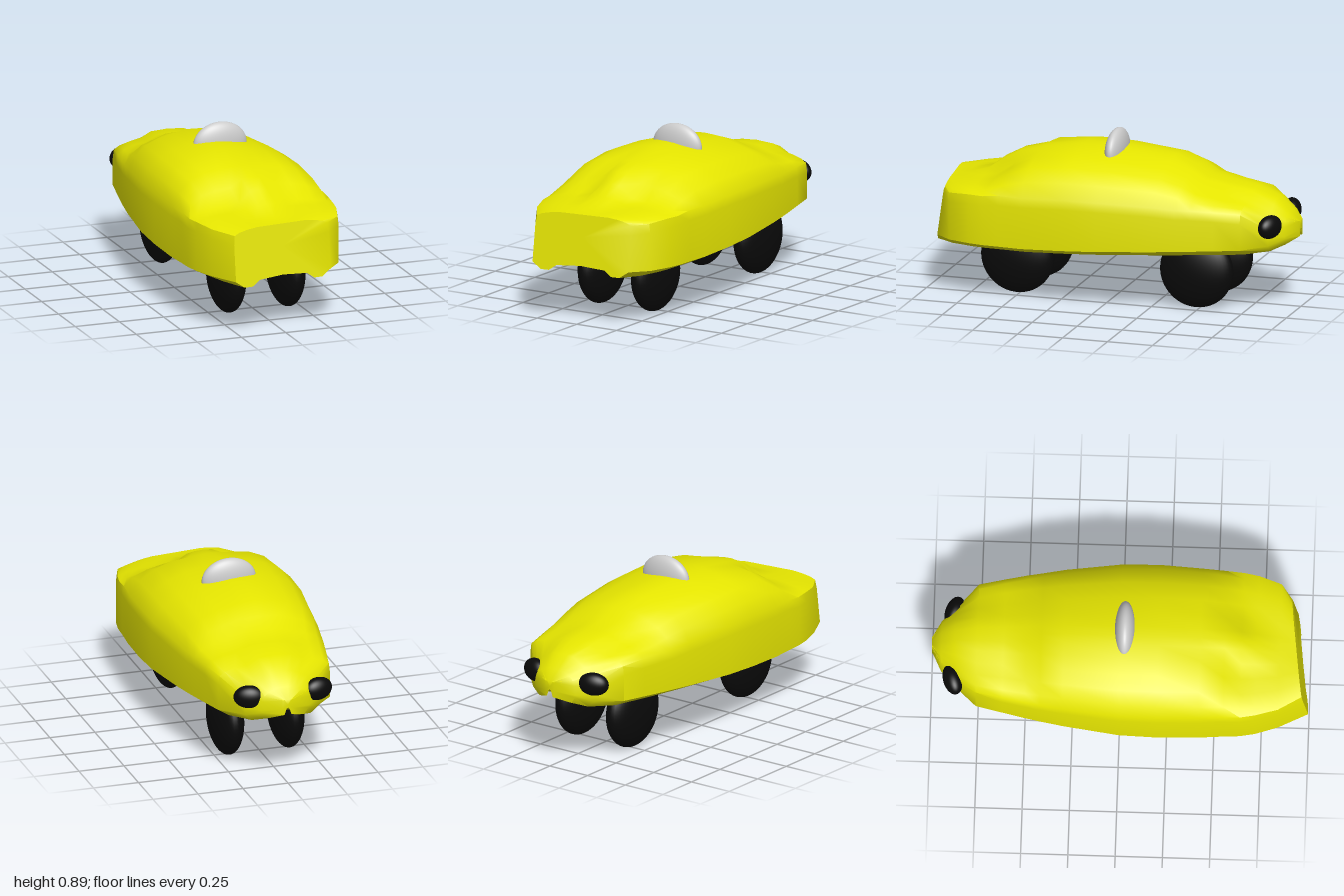
import * as THREE from 'three';
import { toCreasedNormals } from 'three/addons/utils/BufferGeometryUtils.js';

// Body stations, nose to tail: z, half width, shoulder y, mid roof y, crest y
const STATIONS = [
  [0.965, 0.28, 0.55, 0.58, 0.58],
  [0.84, 0.36, 0.56, 0.59, 0.59],
  [0.72, 0.4, 0.57, 0.605, 0.63],
  [0.64, 0.415, 0.57, 0.615, 0.69],
  [0.55, 0.42, 0.58, 0.68, 0.735],
  [0.42, 0.43, 0.58, 0.745, 0.765],
  [0.2, 0.44, 0.59, 0.765, 0.8],
  [0, 0.437, 0.59, 0.76, 0.8],
  [-0.3, 0.4, 0.58, 0.735, 0.77],
  [-0.42, 0.38, 0.57, 0.695, 0.725],
  [-0.5, 0.365, 0.57, 0.65, 0.68],
  [-0.62, 0.34, 0.565, 0.625, 0.66],
  [-0.76, 0.31, 0.555, 0.6, 0.64],
  [-0.88, 0.2, 0.46, 0.57, 0.595],
  [-0.95, 0.13, 0.46, 0.52, 0.53],
  [-1, 0.03, 0.475, 0.475, 0.475],
];

// Closed ring of points, anticlockwise seen from the nose
function bodyRing([z, w, shoulder, mid, crest], isNose) {
  const { lerp } = THREE.MathUtils;
  const floor = Math.max(0.27, 0.29 - 0.05 * z) + 0.5 * Math.max(0, -z - 0.9);
  // Narrow hump on the bonnet, broad roof, flat-topped ridge on the tail
  const hump = z > 0.5 ? 0.15 : z < -0.4 ? 0.85 : 0.57;
  const half = [
    [0, floor + 0.04], [0.5, floor + 0.03], [0.65, floor], [0.82, floor],
    [1, floor + 0.035], [1, shoulder - 0.05], [0.98, shoulder],
    [0.88, lerp(shoulder, mid, 0.45)], [0.7, lerp(shoulder, mid, 0.8)],
    [0.5, mid], [0.3, lerp(mid, crest, hump)],
    [0.12, lerp(mid, crest, 0.93)], [0, crest],
  ];
  const mirrored = half.slice(1, -1).reverse().map(([f, y]) => [-f, y]);
  return [...half, ...mirrored].map(([f, y]) => {
    // The cabin leans slightly to one side; the nose is raked and skewed
    const x = f * w - 0.25 * Math.max(0, y - 0.62);
    return [x, y, isNose ? z - 0.12 * x - 0.14 * (y - 0.3) : z];
  });
}

function bodyGeometry() {
  const rings = STATIONS.map((s, i) => bodyRing(s, i === 0));
  const n = rings[0].length;
  const points = rings.flat();
  const index = [];
  for (let i = 0; i < rings.length - 1; i++) {
    for (let j = 0; j < n; j++) {
      const k = (j + 1) % n;
      const a = i * n + j, b = i * n + k, c = a + n, d = b + n;
      index.push(c, d, b, c, b, a);
    }
  }
  // Nose and tail caps
  for (const i of [0, rings.length - 1]) {
    const middle = [0, 1, 2].map((m) => rings[i].reduce((t, p) => t + p[m], 0) / n);
    const centre = points.push(middle) - 1;
    for (let j = 0; j < n; j++) {
      const a = i * n + j, b = i * n + ((j + 1) % n);
      index.push(centre, i === 0 ? a : b, i === 0 ? b : a);
    }
  }
  const geometry = new THREE.BufferGeometry();
  geometry.setAttribute('position', new THREE.Float32BufferAttribute(points.flat(), 3));
  geometry.setIndex(index);
  return toCreasedNormals(geometry, 0.85);
}

export function createModel() {
  const model = new THREE.Group();
  const yellow = new THREE.MeshStandardMaterial({ color: 0xe6e600 });
  const black = new THREE.MeshStandardMaterial({ color: 0x0a0a0a });
  const grey = new THREE.MeshStandardMaterial({ color: 0xcccccc });
  const ball = new THREE.SphereGeometry(1, 40, 28);

  function ellipsoid(name, material, position, radii) {
    const mesh = new THREE.Mesh(ball, material);
    mesh.name = name;
    mesh.position.set(...position);
    mesh.scale.set(...radii);
    model.add(mesh);
    return mesh;
  }

  const body = new THREE.Mesh(bodyGeometry(), yellow);
  body.name = 'body';
  model.add(body);

  // Wheels: flattened balls tucked under the body
  for (const [end, z] of [['front', 0.515], ['rear', -0.48]]) {
    ellipsoid(end + 'LeftWheel', black, [0.182, 0.202, z], [0.085, 0.202, 0.202]);
    ellipsoid(end + 'RightWheel', black, [-0.153, 0.202, z], [0.085, 0.202, 0.202]);
  }

  // Tail lamps on the rear corners
  for (const [name, x, side] of [['leftTailLamp', 0.178, 1], ['rightTailLamp', -0.203, -1]]) {
    const lamp = ellipsoid(name, black, [x, 0.47, -0.885], [0.084, 0.062, 0.05]);
    lamp.rotation.y = -side * 0.3;
  }

  // Roof sign
  ellipsoid('roofSign', grey, [0, 0.772, 0.02], [0.15, 0.12, 0.053]);

  return model;
}
